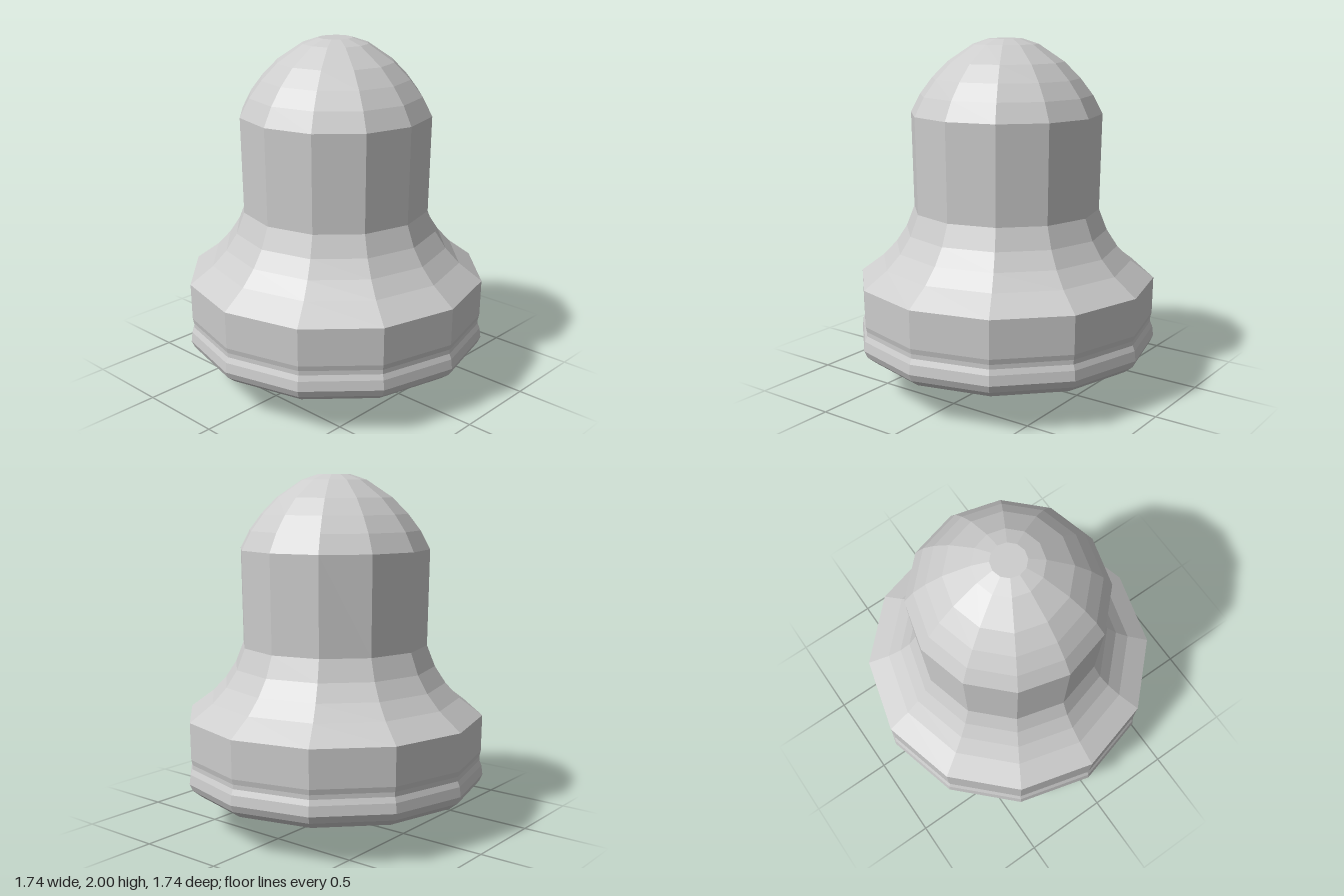
import * as THREE from 'three';

const grey = new THREE.MeshStandardMaterial({ color: 0xcccccc });
grey.name = 'light grey metal';

// Faceted solid of revolution; profile is a list of [radius, height]
function turned(name, profile, sides) {
  const points = profile.map(([r, y]) => new THREE.Vector2(r, y));
  const geometry = new THREE.LatheGeometry(points, sides).toNonIndexed();
  geometry.computeVertexNormals();
  const mesh = new THREE.Mesh(geometry, grey);
  mesh.name = name;
  return mesh;
}

export function createModel() {
  const bell = new THREE.Group();
  bell.name = 'bell';

  // Hollow interior, from the crown down to the bevelled lip
  const inner = [
    [0, 1.92], [0.09, 1.92], [0.165, 1.89], [0.29, 1.8], [0.37, 1.72], [0.425, 1.64], [0.47, 1.57],
    [0.465, 1.03], [0.51, 0.89], [0.575, 0.78], [0.665, 0.69], [0.785, 0.605],
    [0.78, 0.43], [0.773, 0.4], [0.773, 0.375], [0.78, 0.345], [0.78, 0.29], [0.757, 0.255],
  ];
  // Rim, beading, waist and dome, from the lip up
  const outer = [
    [0.8, 0.21], [0.85, 0.25], [0.868, 0.29], [0.861, 0.345], [0.848, 0.375], [0.848, 0.4],
    [0.855, 0.43], [0.858, 0.641], [0.725, 0.74], [0.645, 0.825], [0.583, 0.92], [0.536, 1.04],
    [0.545, 1.585], [0.49, 1.69], [0.42, 1.782], [0.33, 1.873], [0.185, 1.97], [0.095, 2], [0, 2],
  ];
  bell.add(turned('bellShell', [...inner, ...outer], 12));

  // Square clapper with its hanging rod
  const clapper = new THREE.Group();
  clapper.name = 'clapper';
  clapper.add(turned('clapperBall', [
    [0, 0], [0.09, 0], [0.2, 0.09], [0.245, 0.195], [0.2, 0.31], [0, 0.33],
  ], 4));
  clapper.add(turned('clapperRod', [[0.16, 0.3], [0.16, 1.9]], 4));
  bell.add(clapper);

  return bell;
}
